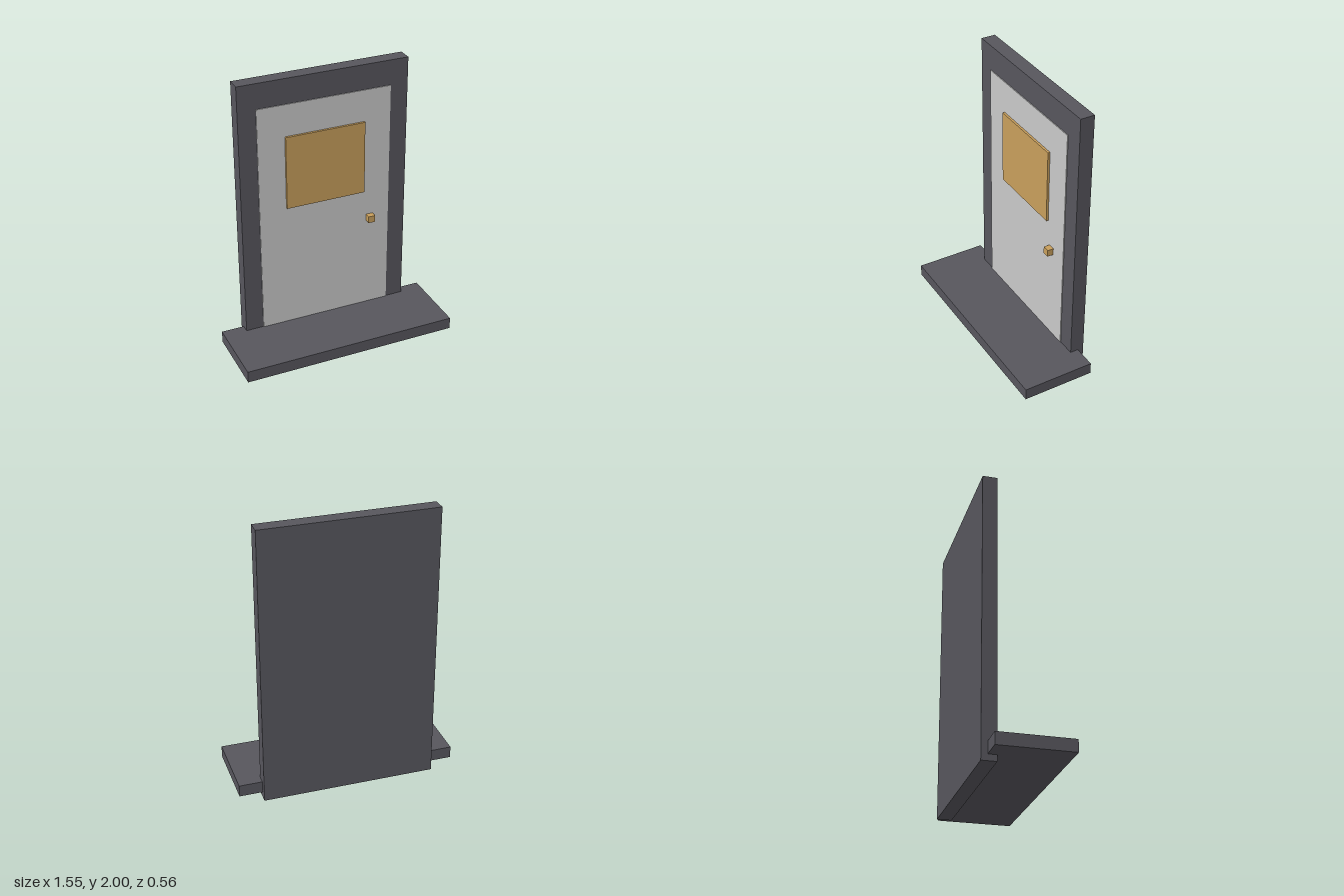
import * as THREE from 'three';

const material = (name, color) => {
  const m = new THREE.MeshStandardMaterial({ color });
  m.name = name;
  return m;
};

// Box given by its extents along each axis
function box(name, mat, [x0, x1], [y0, y1], [z0, z1]) {
  const mesh = new THREE.Mesh(new THREE.BoxGeometry(x1 - x0, y1 - y0, z1 - z0), mat);
  mesh.name = name;
  mesh.position.set((x0 + x1) / 2, (y0 + y1) / 2, (z0 + z1) / 2);
  return mesh;
}

export function createModel() {
  const stone = material('dark stone', 0x57565d);
  const paint = material('pale door paint', 0xc9c9c9);
  const brass = material('warm brass', 0xc89f5c);

  const door = new THREE.Group();
  door.name = 'door';
  door.add(
    // Solid surround and the step in front of it
    box('frame', stone, [-0.613, 0.613], [0, 2], [-0.28, -0.178]),
    box('step', stone, [-0.777, 0.777], [0.043, 0.128], [-0.237, 0.28]),
    // Thin door leaf on the front of the surround
    box('doorPanel', paint, [-0.484, 0.484], [0.1, 1.82], [-0.18, -0.172]),
    // Window and knob standing proud of the leaf
    box('window', brass, [-0.29, 0.29], [1.055, 1.59], [-0.174, -0.156]),
    box('knob', brass, [0.312, 0.362], [0.815, 0.865], [-0.176, -0.128])
  );
  return door;
}
